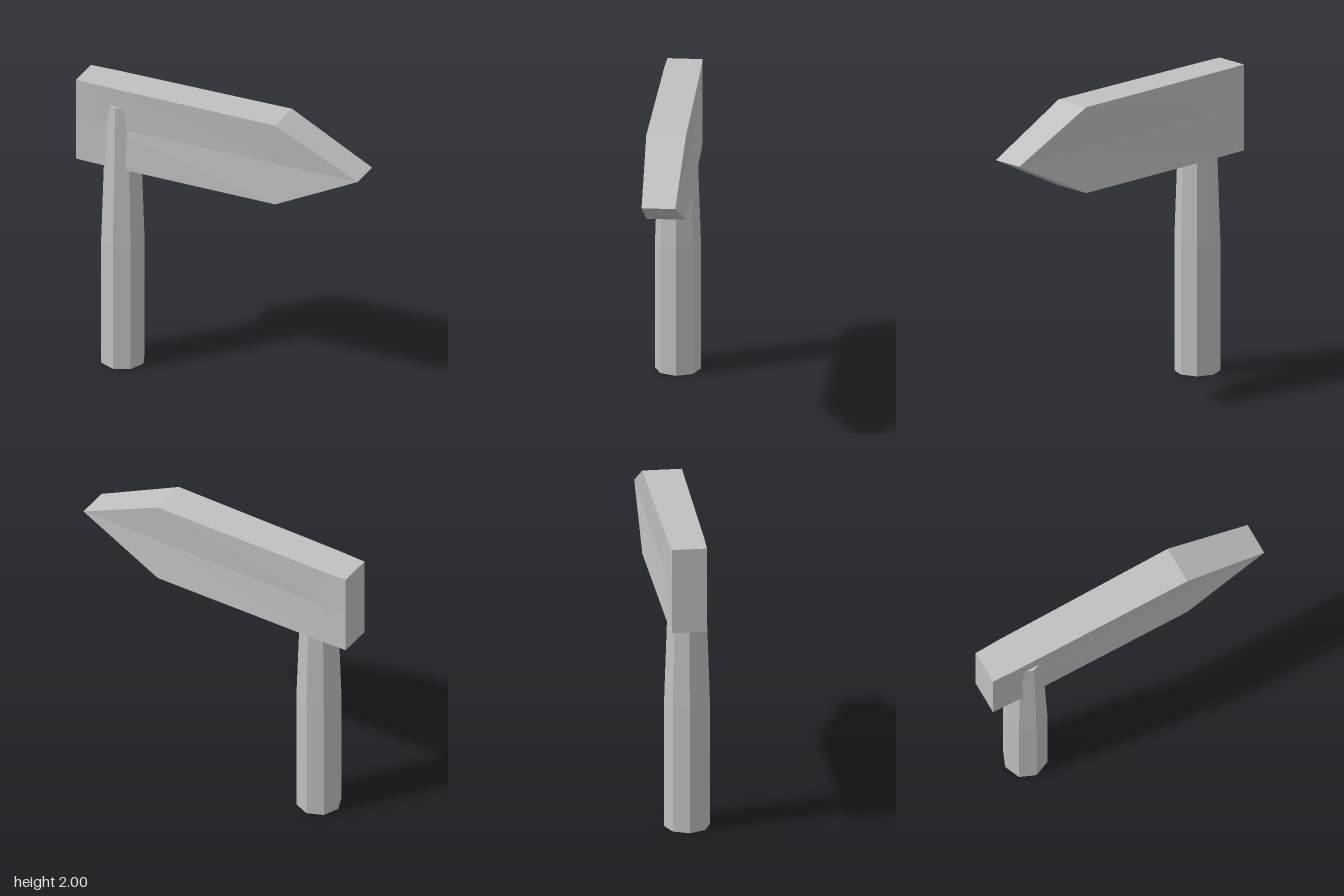
import * as THREE from 'three';

const MID_Y = 1.715;
const MID_Z = -0.02;

// Split shared vertices so that every face is flat.
function faceted(geometry) {
  const flat = geometry.toNonIndexed();
  flat.computeVertexNormals();
  return flat;
}

// Loft of six-point sections along x: [x, half height, half depth at edges, half depth at middle].
function headGeometry(sections) {
  const positions = [];
  const indices = [];
  for (const [x, h, edge, mid] of sections) {
    const ring = [[h, edge], [h, -edge], [0, -mid], [-h, -edge], [-h, edge], [0, mid]];
    for (const [y, z] of ring) positions.push(x, MID_Y + y, MID_Z + z);
  }
  for (let s = 0; s < sections.length - 1; s++) {
    for (let j = 0; j < 6; j++) {
      const a = s * 6 + j;
      const b = s * 6 + (j + 1) % 6;
      indices.push(a, a + 6, b, a + 6, b + 6, b);
    }
  }
  // Blunt striking end
  for (let j = 1; j < 5; j++) indices.push(0, j, j + 1);
  const geometry = new THREE.BufferGeometry();
  geometry.setAttribute('position', new THREE.Float32BufferAttribute(positions, 3));
  geometry.setIndex(indices);
  return faceted(geometry);
}

export function createModel() {
  const group = new THREE.Group();
  group.name = 'hammer';
  const grey = new THREE.MeshStandardMaterial({ color: 0xc0c0c0 });
  grey.name = 'grey';

  // Head: flat at the blunt end, slightly hollow along the sides, wedge at the other end
  const head = new THREE.Mesh(headGeometry([
    [-0.995, 0.285, 0.112, 0.112],
    [-0.82, 0.285, 0.118, 0.108],
    [0.42, 0.285, 0.127, 0.108],
    [0.995, 0, 0.108, 0.108],
  ]), grey);
  head.name = 'head';
  group.add(head);

  // Handle: eight-sided, tapering into the head
  const profile = [[0, 0], [0.147, 0], [0.147, 0.87], [0.113, 1.87], [0, 1.87]]
    .map(([r, y]) => new THREE.Vector2(r, y));
  const handle = new THREE.Mesh(faceted(new THREE.LatheGeometry(profile, 8)), grey);
  handle.name = 'handle';
  handle.position.x = -0.707;
  group.add(handle);

  return group;
}
